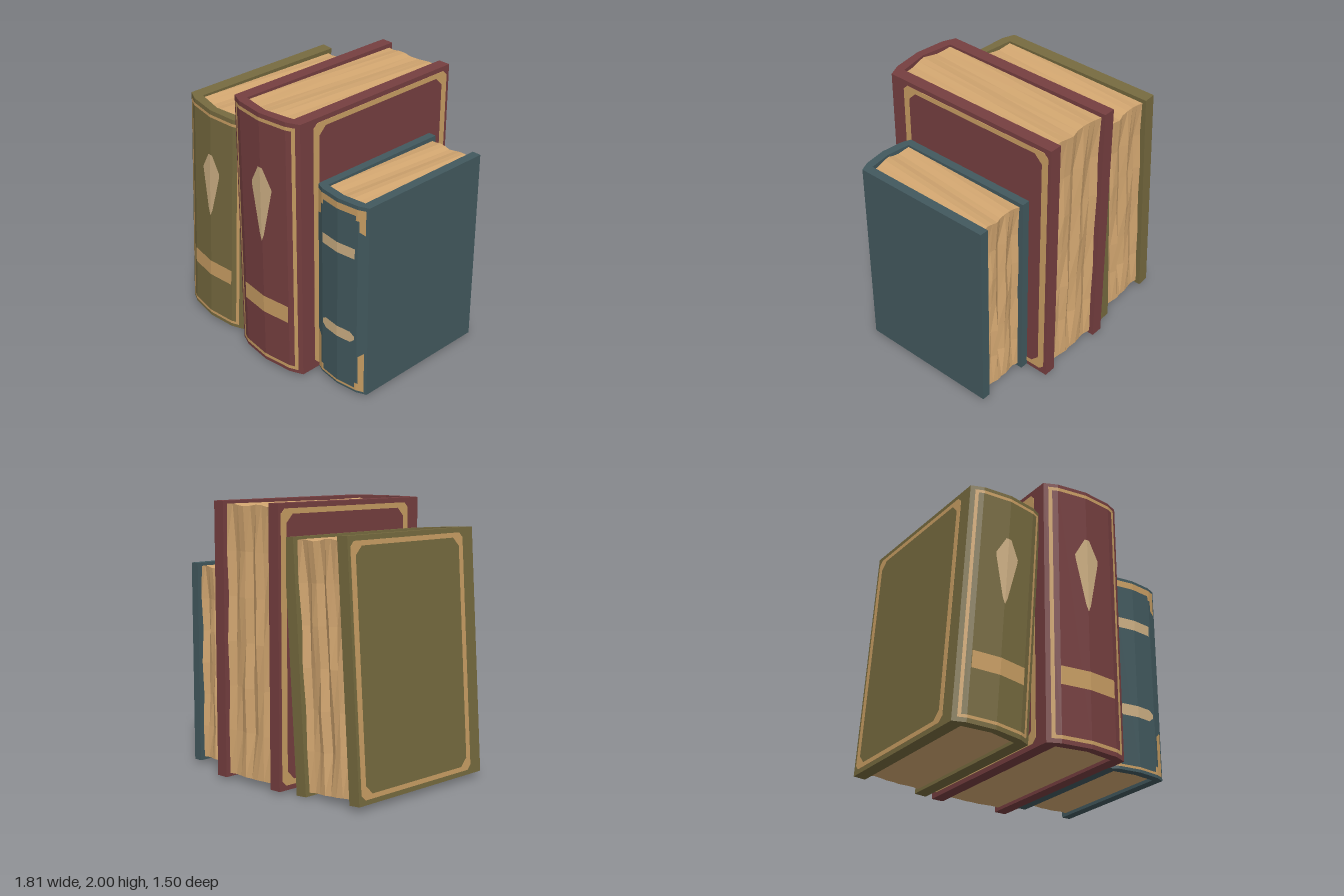
import * as THREE from 'three';

const mat = (name, color, flatShading = true) => {
  const m = new THREE.MeshStandardMaterial({ color, flatShading });
  m.name = name;
  return m;
};

export function createModel() {
  const red = mat('red leather', 0x763f40);
  const olive = mat('olive leather', 0x766a3f);
  const blue = mat('blue leather', 0x42595e);
  const gold = mat('gold trim', 0xc99e63);
  const pale = mat('pale gold', 0xceb084);
  const paper = mat('aged paper', 0xd2a670);

  const model = new THREE.Group();
  model.name = 'books';

  const add = (group, name, geometry, material) => {
    const mesh = new THREE.Mesh(geometry, material);
    mesh.name = name;
    group.add(mesh);
    return mesh;
  };

  // Height of the rounded spine above its corners, straight between five points
  const KNOTS = [[-1, 0], [-0.7, 0.6], [0, 1], [0.7, 0.6], [1, 0]];
  const spineZ = (b, x) => {
    const t = Math.abs(x) / (b.w / 2);
    return b.front + b.bulge * (t > 0.7 ? 0.6 * (1 - t) / 0.3 : 1 - 0.4 * t / 0.7);
  };

  // Both boards and the spine: one U-shaped plan pulled up to the book's height
  function coverGeometry(b) {
    const hw = b.w / 2, hi = hw - b.board;
    const plan = [
      [-hw, b.back],
      ...KNOTS.map(([t, k]) => [t * hw, b.front + k * b.bulge]),
      [hw, b.back], [hi, b.back], [hi, b.front - 0.03],
      [0, b.front + b.bulge - 0.06], [-hi, b.front - 0.03], [-hi, b.back],
    ];
    const shape = new THREE.Shape(plan.map(([x, z]) => new THREE.Vector2(x, -z)));
    const geo = new THREE.ExtrudeGeometry(shape, { depth: b.h, bevelEnabled: false });
    return geo.rotateX(-Math.PI / 2);
  }

  // Page block: a divided box with a fluted, uneven fore edge
  function pagesGeometry(b) {
    const w = b.w - 2 * b.board + 0.006, gap = 0.025, h = b.h - 2 * gap;
    const z0 = b.back + 0.035, z1 = b.front - 0.025, d = z1 - z0;
    const geo = new THREE.BoxGeometry(w, h, d, 8, 6, 2);
    const p = geo.attributes.position;
    for (let i = 0; i < p.count; i++) {
      const x = p.getX(i), y = p.getY(i), z = p.getZ(i);
      const u = x / w + 0.5, v = y / h + 0.5, across = 1 - Math.abs(2 * u - 1);
      if (z > d / 2 - 0.001) p.setZ(i, z + across * (b.bulge - 0.03));
      if (z < -d / 2 + 0.001) {
        const flute = 0.5 - 0.5 * Math.cos(u * Math.PI * 6 + 0.5 * Math.sin(v * 7));
        const deep = v > 0.99 || v < 0.01 ? 0.25 : 1;
        p.setZ(i, z + 0.04 * flute * deep + 0.006 * Math.sin(v * 17 + u * 9));
      }
      if (v > 0.99) p.setY(i, y + 0.008 * Math.sin(u * 11 + z * 3));
    }
    return geo.translate(0, b.h / 2, (z0 + z1) / 2);
  }

  // Thin plate on the spine, from columns [x, low, high], bent over the spine's edges
  function plate(b, columns) {
    const cols = [];
    columns.forEach((c, i) => {
      cols.push(c);
      const n = columns[i + 1];
      if (!n) return;
      for (const [t] of KNOTS) {
        const x = t * b.w / 2;
        if (x > c[0] + 1e-4 && x < n[0] - 1e-4) {
          const f = (x - c[0]) / (n[0] - c[0]);
          cols.push([x, c[1] + f * (n[1] - c[1]), c[2] + f * (n[2] - c[2])]);
        }
      }
    });
    const pos = [], idx = [];
    cols.forEach(([x, lo, hi], i) => {
      const z = spineZ(b, x) + 0.005;
      pos.push(x, lo, z, x, hi, z);
      const k = i * 2;
      if (i < cols.length - 1) idx.push(k, k + 2, k + 1, k + 1, k + 2, k + 3);
    });
    const geo = new THREE.BufferGeometry();
    geo.setAttribute('position', new THREE.Float32BufferAttribute(pos, 3));
    geo.setIndex(idx);
    geo.computeVertexNormals();
    return geo;
  }
  const bar = (b, x0, x1, y0, y1) => plate(b, [[x0, y0, y1], [x1, y0, y1]]);

  function spineFrame(g, b, inset, t) {
    const x = b.w / 2 - inset, y0 = inset, y1 = b.h - inset;
    for (const s of [-1, 1]) {
      const a = Math.min(s * x, s * (x - t)), c = Math.max(s * x, s * (x - t));
      add(g, 'spineFrameSide', bar(b, a, c, y0, y1), gold);
    }
    add(g, 'spineFrameTop', bar(b, -x + t, x - t, y1 - t, y1), gold);
    add(g, 'spineFrameBottom', bar(b, -x + t, x - t, y0, y0 + t), gold);
  }

  function diamond(g, b, half, low, mid, high) {
    add(g, 'spineDiamond', plate(b, [
      [-half, mid - 0.01, mid + 0.01], [-0.02, low + 0.05, high],
      [0, low, high], [0.02, low + 0.05, high], [half, mid - 0.01, mid + 0.01],
    ]), pale);
  }

  // Gold frame with clipped corners on both boards
  function boardFrames(g, b, t) {
    const clipped = (P, z0, z1, y0, y1, c) => new P([
      [z0 + c, y0], [z1 - c, y0], [z1, y0 + c], [z1, y1 - c],
      [z1 - c, y1], [z0 + c, y1], [z0, y1 - c], [z0, y0 + c],
    ].map(([z, y]) => new THREE.Vector2(-z, y)));
    const z0 = b.back + 0.025, z1 = b.front - 0.115, y0 = 0.035, y1 = b.h - 0.035;
    const shape = clipped(THREE.Shape, z0, z1, y0, y1, 0.035);
    shape.holes.push(clipped(THREE.Path, z0 + t, z1 - t, y0 + t * 0.75, y1 - t * 0.75, 0.06));
    for (const s of [-1, 1]) {
      const geo = new THREE.ExtrudeGeometry(shape, { depth: 0.006, bevelEnabled: false });
      geo.rotateY(Math.PI / 2).translate(s * b.w / 2 - 0.003, 0, 0);
      add(g, s > 0 ? 'leftBoardFrame' : 'rightBoardFrame', geo, gold);
    }
  }

  function book(name, b, leather) {
    const g = new THREE.Group();
    g.name = name;
    g.position.set(b.x, b.y, 0);
    g.rotation.z = b.lean || 0;
    add(g, 'cover', coverGeometry(b), leather);
    add(g, 'pages', pagesGeometry(b), paper);
    model.add(g);
    return g;
  }

  // Tall red book in the middle
  const r = { x: 0.1, y: 0.02, w: 0.65, h: 1.98, back: -0.75, front: 0.68, bulge: 0.07, board: 0.093 };
  const redBook = book('redBook', r, red);
  spineFrame(redBook, r, 0.03, 0.026);
  diamond(redBook, r, 0.1, 1.01, 1.43, 1.58);
  add(redBook, 'spineBand', bar(r, -0.23, 0.225, 0.42, 0.555), gold);
  boardFrames(redBook, r, 0.05);

  // Olive book leaning against it
  const o = { x: -0.615, y: 0.02, w: 0.59, h: 1.775, back: -0.68, front: 0.61, bulge: 0.07, board: 0.09, lean: -0.065 };
  const oliveBook = book('oliveBook', o, olive);
  spineFrame(oliveBook, o, 0.03, 0.022);
  diamond(oliveBook, o, 0.088, 0.91, 1.28, 1.42);
  add(oliveBook, 'spineBand', bar(o, -0.205, 0.205, 0.385, 0.51), gold);
  boardFrames(oliveBook, o, 0.045);

  // Small blue book
  const s = { x: 0.66, y: 0.02, w: 0.485, h: 1.5, back: -0.57, front: 0.52, bulge: 0.052, board: 0.068 };
  const blueBook = book('blueBook', s, blue);
  add(blueBook, 'upperSpineBand', bar(s, -0.16, 0.15, 1.09, 1.17), pale);
  add(blueBook, 'lowerSpineBand', plate(s, [
    [-0.16, 0.44, 0.47], [-0.125, 0.41, 0.495], [0.115, 0.41, 0.495], [0.15, 0.44, 0.47],
  ]), pale);
  add(blueBook, 'topTrim', bar(s, -0.225, 0.225, 1.425, 1.475), gold);
  add(blueBook, 'bottomTrim', bar(s, -0.225, 0.225, 0.02, 0.038), gold);
  for (const m of [-1, 1]) {
    // Corner pieces, slanted where they end on the spine
    const corner = (outer, inner) => {
      const cols = [[m * 0.225, ...outer], [m * 0.182, ...inner]];
      return plate(s, m < 0 ? cols : cols.reverse());
    };
    add(blueBook, 'topCorner', corner([1.29, 1.425], [1.31, 1.425]), gold);
    add(blueBook, 'bottomCorner', corner([0.038, 0.35], [0.038, 0.31]), gold);
    const x = [m * 0.182, m * 0.155].sort((a, c) => a - c);
    add(blueBook, 'topCornerStep', bar(s, x[0], x[1], 1.39, 1.425), gold);
    add(blueBook, 'bottomCornerStep', bar(s, x[0], x[1], 0.038, 0.08), gold);
  }

  return model;
}
